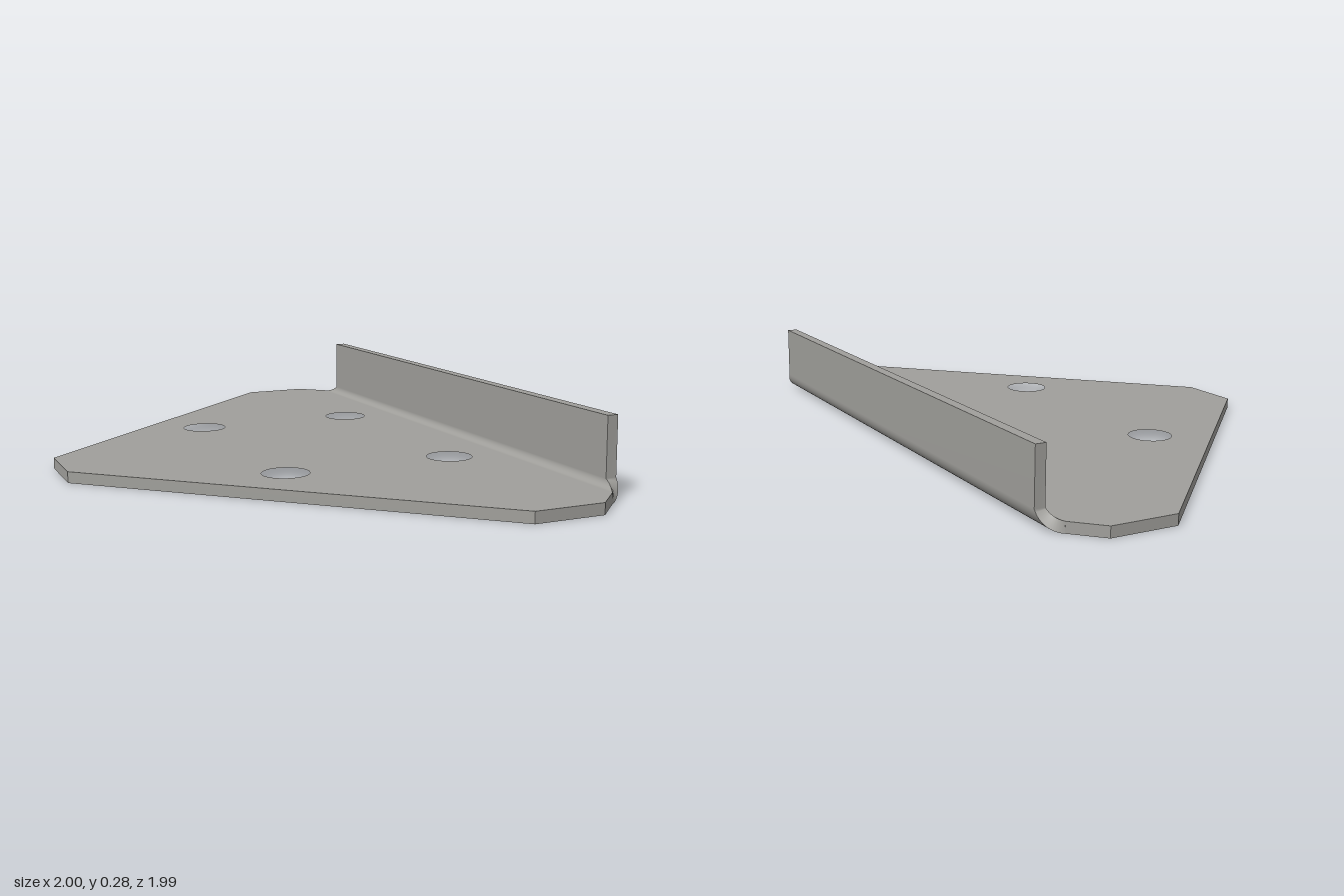
import * as THREE from 'three';
import { mergeGeometries, toCreasedNormals } from 'three/addons/utils/BufferGeometryUtils.js';

const T = 0.04;            // sheet thickness
const BEND_U = 0.219;      // distance from the centre to the start of the bend
const R_OUT = 0.067;       // outer bend radius
const R_IN = R_OUT - T;
const HEIGHT = 0.275;
const HALF_PLATE = 1.181;  // half length at the plate
const HALF_FLANGE = 1.107; // half length of the upright flange

// Ribbon between two rows of points, facing (along the row) x (a to b)
function ribbon(a, b) {
  const pos = [], index = [];
  a.forEach((p, i) => {
    pos.push(...p, ...b[i]);
    if (i) {
      const k = 2 * (i - 1);
      index.push(k, k + 2, k + 1, k + 1, k + 2, k + 3);
    }
  });
  const g = new THREE.BufferGeometry();
  g.setAttribute('position', new THREE.Float32BufferAttribute(pos, 3));
  g.setIndex(index);
  g.computeVertexNormals();
  return g;
}

// Base plate with clipped corners and four holes
function plateGeometry() {
  const outline = [
    [-1, -0.81], [-0.82, -0.99], [-0.68, -0.99], [0.99, 0.68],
    [0.99, 0.82], [0.81, 0.997], [-0.82, 0.997], [-1, 0.817],
  ];
  const shape = new THREE.Shape(outline.map(([x, z]) => new THREE.Vector2(x, -z)));
  for (const [x, z] of [[-0.325, -0.345], [0.342, 0.32], [-0.77, 0.1], [-0.107, 0.767]]) {
    const hole = new THREE.Path();
    hole.absarc(x, -z, 0.083, 0, Math.PI * 2, true);
    shape.holes.push(hole);
  }
  const g = new THREE.ExtrudeGeometry(shape, { depth: T, bevelEnabled: false, curveSegments: 24 });
  g.rotateX(-Math.PI / 2);
  return toCreasedNormals(g, 0.5);
}

// Rounded bend rising into the upright flange, narrowing at both ends
function flangeGeometry() {
  const steps = 12;
  const row = (radius, side) => {
    const pts = [];
    for (let i = 0; i <= steps; i++) {
      const a = (i / steps) * Math.PI / 2;
      const half = THREE.MathUtils.lerp(HALF_PLATE, HALF_FLANGE, i / steps);
      pts.push([BEND_U + radius * Math.sin(a), R_OUT - radius * Math.cos(a), side * half]);
    }
    pts.push([BEND_U + radius, HEIGHT, side * HALF_FLANGE]);
    return pts;
  };
  const outA = row(R_OUT, -1), outB = row(R_OUT, 1);
  const inA = row(R_IN, -1), inB = row(R_IN, 1);
  const last = steps + 1;
  const g = mergeGeometries([
    ribbon(outA, outB),  // outside
    ribbon(inB, inA),    // inside
    ribbon(outB, inB),   // front end
    ribbon(inA, outA),   // back end
    ribbon([inA[last], inB[last]], [outA[last], outB[last]]), // top edge
  ]);
  g.rotateY(Math.PI / 4);
  return g;
}

export function createModel() {
  const steel = new THREE.MeshStandardMaterial({ color: 0xa09f9b });
  steel.name = 'steel grey';
  const group = new THREE.Group();
  group.name = 'cornerBracket';
  for (const [name, geometry] of [['basePlate', plateGeometry()], ['bentFlange', flangeGeometry()]]) {
    const mesh = new THREE.Mesh(geometry, steel);
    mesh.name = name;
    group.add(mesh);
  }
  return group;
}
